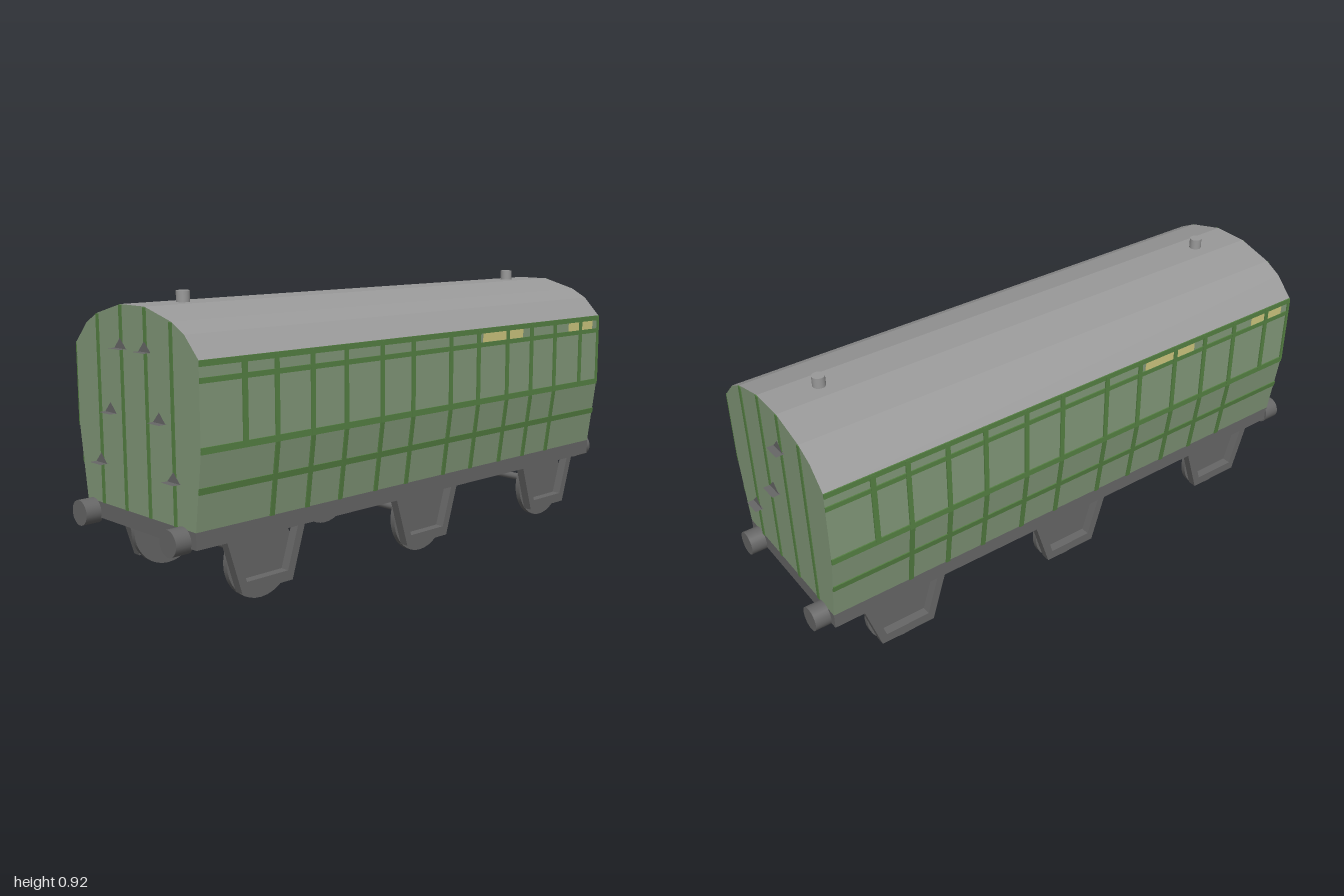
import * as THREE from 'three';

const END = 0.947;               // half length of the body
const WALL = 0.317, SOLE = 0.285; // half widths at the waist and at the floor
const FLOOR = 0.26, WAIST = 0.49, EAVES = 0.755;

function material(name, color, side = THREE.FrontSide) {
  const m = new THREE.MeshStandardMaterial({ color, side });
  m.name = name;
  return m;
}

export function createModel() {
  const green = material('panelGreen', 0x829879);
  const trim = material('trimGreen', 0x558043);
  const grey = material('roofGrey', 0x999999);
  const dark = material('ironGrey', 0x666666, THREE.DoubleSide);
  const yellow = material('signYellow', 0xcdc67e);

  const model = new THREE.Group();
  model.name = 'railwayVan';

  function add(parent, name, geometry, mat, x = 0, y = 0, z = 0) {
    const mesh = new THREE.Mesh(geometry, mat);
    mesh.name = name;
    mesh.position.set(x, y, z);
    parent.add(mesh);
    return mesh;
  }
  const polygon = (pts) => new THREE.Shape(pts.map(([x, y]) => new THREE.Vector2(x, y)));
  // cross-section in x and y, swept along z and centred
  function prism(shape, depth) {
    return new THREE.ExtrudeGeometry(shape, { depth, bevelEnabled: false }).translate(0, 0, -depth / 2);
  }
  // closes a half profile (right side, bottom to top) with its mirror image
  const mirrored = (half) => polygon([...half, ...half.map(([x, y]) => [-x, y]).reverse()]);

  // body and roof, the roof's ends painted like the body
  add(model, 'body', prism(mirrored([[SOLE, FLOOR], [WALL, WAIST], [WALL, EAVES]]), END * 2), green);
  add(model, 'roof', prism(mirrored([[WALL, EAVES], [0.253, 0.82], [0.192, 0.852], [0.063, 0.886]]), END * 2), [green, grey]);
  for (const z of [0.767, -0.773]) {
    add(model, 'roofVent', new THREE.CylinderGeometry(0.021, 0.021, 0.05, 20), grey, 0, 0.896, z);
  }

  // thin plate following the side wall from y0 to y1
  const wallX = (y) => y >= WAIST ? WALL : THREE.MathUtils.mapLinear(y, FLOOR, WAIST, SOLE, WALL);
  function wallPlate(parent, name, y0, y1, z, width, mat, t = 0.005) {
    const ys = y0 < WAIST && y1 > WAIST ? [y0, WAIST, y1] : [y0, y1];
    const outer = ys.map((y) => [wallX(y) + t, y]);
    const inner = ys.map((y) => [wallX(y) - 0.002, y]).reverse();
    add(parent, name, prism(polygon([...outer, ...inner]), width), mat, 0, 0, z);
  }

  // beading and signs, the other side turned half a circle
  for (const turn of [0, Math.PI]) {
    const side = new THREE.Group();
    side.name = turn ? 'rightSideTrim' : 'leftSideTrim';
    side.rotation.y = turn;
    model.add(side);
    for (const [y, h] of [[0.746, 0.018], [0.698, 0.016], [0.5, 0.02], [0.382, 0.02]]) {
      wallPlate(side, 'horizontalBeading', y - h / 2, y + h / 2, 0, END * 2, trim, 0.004);
    }
    for (const z of [0.67, 0.53, 0.392, 0.235, 0.092]) {
      for (const s of [1, -1]) wallPlate(side, 'verticalBeading', FLOOR, 0.75, z * s, 0.016, trim);
    }
    for (const [z, w] of [[0.789, 0.018], [-0.829, 0.016], [-0.942, 0.01]]) {
      wallPlate(side, 'shortBeading', 0.5, 0.75, z, w, trim);
    }
    for (const [z, w] of [[-0.37, 0.22], [-0.832, 0.15]]) {
      wallPlate(side, 'signPanel', 0.706, 0.737, z, w, yellow, 0.002);
    }
  }

  // end beading, lamp brackets and buffers: bracket = [x, base y]
  const ends = [
    {
      name: 'frontEnd', turn: 0, buffers: [-0.253, 0.221],
      brackets: [[-0.063, 0.755], [0.063, 0.755], [-0.127, 0.555], [0.127, 0.555], [-0.19, 0.39], [0.19, 0.39]],
    },
    {
      name: 'backEnd', turn: Math.PI, buffers: [-0.221, 0.221],
      brackets: [[0.052, 0.755], [-0.026, 0.555], [-0.19, 0.39]],
    },
  ];
  for (const { name, turn, buffers, brackets } of ends) {
    const end = new THREE.Group();
    end.name = name;
    end.rotation.y = turn;
    model.add(end);
    for (const [x, top] of [[0.063, 0.884], [0.19, 0.85]]) {
      for (const s of [1, -1]) {
        add(end, 'endBeading', new THREE.BoxGeometry(0.014, top - FLOOR, 0.004), trim, x * s, (top + FLOOR) / 2, END + 0.001);
      }
    }
    for (const [x, y] of brackets) {
      const plate = new THREE.ShapeGeometry(polygon([[-0.031, 0], [0.031, 0], [0, 0.032]]));
      add(end, 'bracketPlate', plate, dark, x, y, END + 0.005);
      const shelf = new THREE.PlaneGeometry(0.062, 0.028).rotateX(-Math.PI / 2);
      add(end, 'bracketShelf', shelf, dark, x, y, END + 0.014);
    }
    for (const x of buffers) {
      const buffer = new THREE.CylinderGeometry(0.041, 0.041, 0.06, 28).rotateX(Math.PI / 2);
      add(end, 'buffer', buffer, dark, x, 0.226, 0.97);
    }
  }

  // underframe
  add(model, 'underframe', new THREE.BoxGeometry(SOLE * 2, 0.052, END * 2), dark, 0, 0.234, 0);

  // open tapered guard outside each wheel
  const guardShape = polygon([
    [-0.15, 0.21], [-0.098, 0.042], [0.098, 0.042], [0.15, 0.21],
    [0.122, 0.21], [0.08, 0.075], [-0.08, 0.075], [-0.122, 0.21],
  ]);
  for (const z of [0.688, -0.018, -0.693]) {
    add(model, 'axle', new THREE.CylinderGeometry(0.013, 0.013, 0.4, 16).rotateZ(Math.PI / 2), dark, 0, 0.13, z);
    for (const s of [1, -1]) {
      add(model, 'wheel', new THREE.CylinderGeometry(0.128, 0.128, 0.018, 36).rotateZ(Math.PI / 2), dark, s * 0.243, 0.13, z);
      add(model, 'wheelGuard', prism(guardShape, 0.031).rotateY(Math.PI / 2), dark, s * 0.2695, 0, z);
    }
  }
  return model;
}
